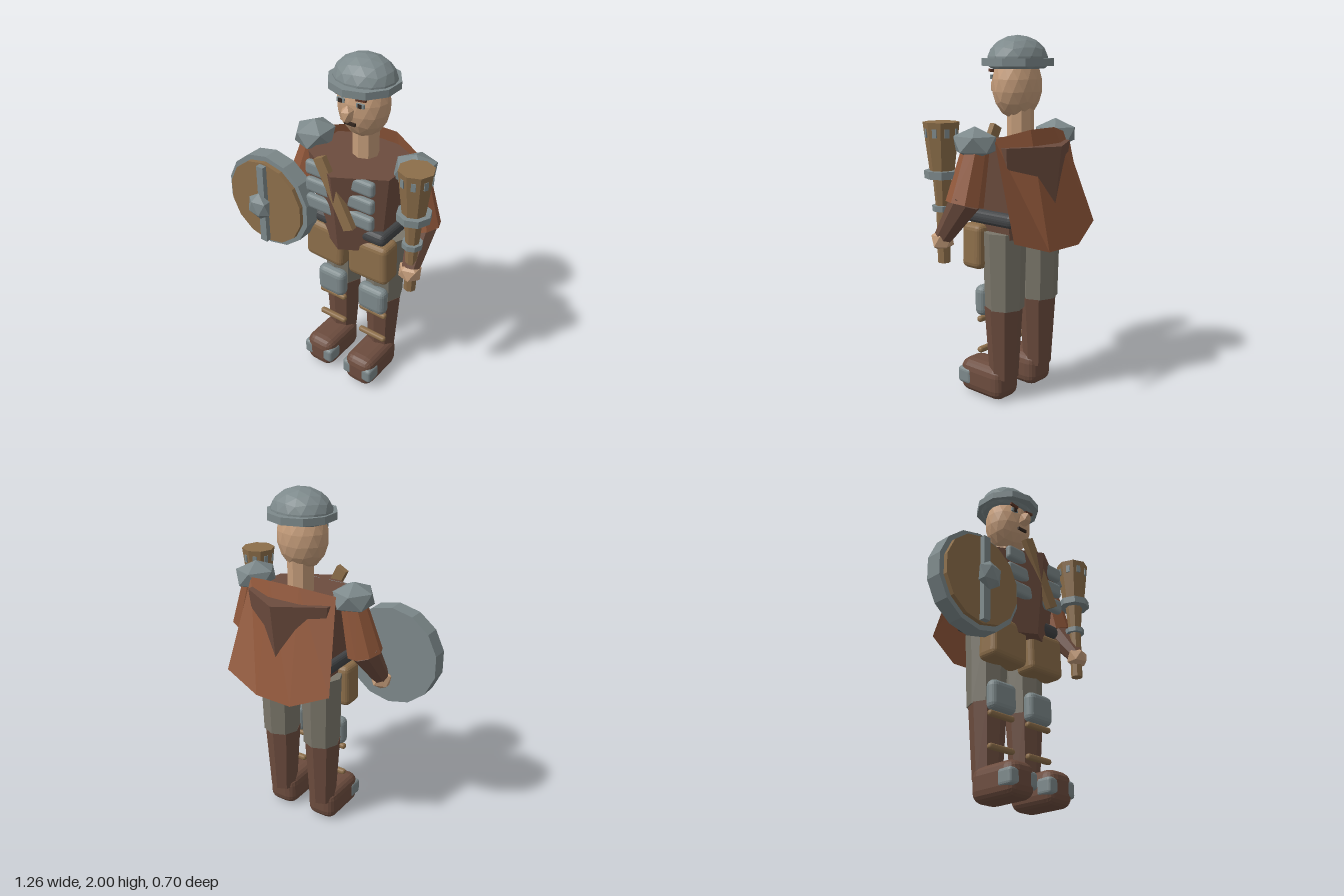
import * as THREE from 'three';
import { RoundedBoxGeometry } from 'three/addons/geometries/RoundedBoxGeometry.js';

const CX = 0.115; // body centre line

export function createModel() {
  const root = new THREE.Group();
  root.name = 'guard';

  const mat = (name, color, extra = {}) => {
    const m = new THREE.MeshStandardMaterial({ color, flatShading: true, ...extra });
    m.name = name;
    return m;
  };
  const skin = mat('skin', 0xc49c7a);
  const steel = mat('steel', 0x7d898b);
  const wood = mat('wood', 0x8c6e4a);
  const rust = mat('rustCloth', 0x91583b, { side: THREE.DoubleSide });
  const leather = mat('leather', 0x6c4c3e);
  const trousers = mat('trousers', 0x7a766a);
  const charcoal = mat('charcoal', 0x434547);
  const dark = mat('darkFeatures', 0x33261f);
  const brown = mat('browBrown', 0x5e3626);

  const add = (name, geo, m, x, y, z) => {
    const mesh = new THREE.Mesh(geo, m);
    mesh.name = name;
    mesh.position.set(x, y, z);
    root.add(mesh);
    return mesh;
  };
  const box = (name, m, w, h, d, x, y, z) => add(name, new THREE.BoxGeometry(w, h, d), m, x, y, z);
  const soft = (name, m, w, h, d, r, x, y, z) =>
    add(name, new RoundedBoxGeometry(w, h, d, 2, r), m, x, y, z);
  // upright cylinder between heights y0 and y1
  const cyl = (name, m, rTop, rBottom, y0, y1, sides, x, z) =>
    add(name, new THREE.CylinderGeometry(rTop, rBottom, y1 - y0, sides), m, x, (y0 + y1) / 2, z);
  // faceted ball with one vertex pointing up
  const ball = (name, m, rx, ry, rz, x, y, z, detail = 0) => {
    const g = new THREE.IcosahedronGeometry(1, detail);
    g.rotateZ(0.5536);
    g.scale(rx, ry, rz);
    return add(name, g, m, x, y, z);
  };
  // tapered limb from point a to point b
  const limb = (name, m, a, b, ra, rb, sides) => {
    const A = new THREE.Vector3(...a), B = new THREE.Vector3(...b);
    const dir = A.clone().sub(B);
    const mid = A.clone().add(B).multiplyScalar(0.5);
    const mesh = add(name, new THREE.CylinderGeometry(ra, rb, dir.length(), sides), m, mid.x, mid.y, mid.z);
    mesh.quaternion.setFromUnitVectors(new THREE.Vector3(0, 1, 0), dir.normalize());
  };

  // head and face
  ball('head', skin, 0.147, 0.185, 0.127, CX, 1.74, -0.022, 2);
  ball('nose', skin, 0.036, 0.05, 0.045, CX, 1.73, 0.125);
  cyl('neck', skin, 0.073, 0.073, 1.38, 1.62, 8, CX, -0.045);
  box('mouth', dark, 0.064, 0.016, 0.012, CX, 1.668, 0.1);
  for (const s of [-1, 1]) {
    box('eye', steel, 0.046, 0.022, 0.012, CX + s * 0.06, 1.783, 0.095);
    box('pupil', dark, 0.02, 0.022, 0.008, CX + s * 0.06, 1.783, 0.102);
    box('eyebrow', brown, 0.06, 0.015, 0.014, CX + s * 0.062, 1.815, 0.095).rotation.z = s * 0.12;
  }

  // helmet: domed cap flattened underneath, with a brim
  const dome = ball('helmetDome', steel, 0.178, 0.135, 0.152, CX, 1.868, -0.028, 2);
  const dp = dome.geometry.attributes.position;
  for (let i = 0; i < dp.count; i++) dp.setY(i, Math.max(dp.getY(i), -0.04));
  dome.geometry.computeVertexNormals();
  cyl('helmetBrim', steel, 0.193, 0.193, 1.842, 1.882, 10, CX, -0.025);

  // torso, belt, chest plates and strap
  cyl('torso', leather, 0.3, 0.237, 0.94, 1.435, 6, CX, -0.03);
  soft('belt', charcoal, 0.51, 0.08, 0.36, 0.035, CX, 1.05, -0.03);
  for (const s of [-1, 1]) {
    for (let i = 0; i < 3; i++) {
      soft('chestPlate', steel, 0.21, 0.086, 0.045, 0.02, CX + s * 0.113, 1.392 - i * 0.106, 0.188);
    }
  }
  box('chestStrap', wood, 0.065, 0.42, 0.035, CX, 1.315, 0.23).rotation.z = 0.48;

  // cape: four columns from shoulder line to hem
  const top = [[-0.16, 1.48, -0.12], [0.02, 1.52, -0.2], [0.21, 1.52, -0.2], [0.4, 1.48, -0.12]];
  const hem = [[-0.23, 0.98, -0.29], [-0.015, 0.89, -0.35], [0.22, 0.89, -0.34], [0.45, 0.97, -0.3]];
  const cape = new THREE.BufferGeometry();
  cape.setAttribute('position', new THREE.Float32BufferAttribute([...top, ...hem].flat(), 3));
  const faces = [];
  for (let i = 0; i < 3; i++) faces.push(i, i + 1, i + 4, i + 1, i + 5, i + 4);
  cape.setIndex(faces);
  cape.computeVertexNormals();
  add('cape', cape, rust, 0, 0, 0);

  for (const s of [-1, 1]) {
    const at = (dx) => CX + s * dx;
    // arms
    ball('shoulderGuard', steel, 0.122, 0.088, 0.135, at(0.325), 1.456, -0.022);
    limb('sleeve', rust, [at(0.325), 1.44, -0.03], [at(0.395), 1.145, -0.01], 0.07, 0.1, 8);
    limb('forearm', leather, [at(0.395), 1.18, -0.03], [at(0.42), 0.955, 0.13], 0.085, 0.05, 8);
    ball('hand', skin, 0.07, 0.065, 0.062, at(0.42), 0.94, 0.135);

    // legs
    const lx = at(0.143);
    cyl('trouserLeg', trousers, 0.12, 0.108, 0.54, 0.97, 8, lx, -0.055);
    cyl('bootShaft', leather, 0.106, 0.08, 0.13, 0.545, 8, lx, -0.045);
    soft('thighPad', wood, 0.26, 0.25, 0.14, 0.035, at(0.145), 0.88, 0.08).rotation.z = s * 0.03;
    soft('kneePad', steel, 0.185, 0.175, 0.08, 0.038, lx, 0.567, 0.062);
    for (const y of [0.463, 0.283]) soft('bootStrap', wood, 0.185, 0.033, 0.035, 0.014, lx, y, 0.06);
    soft('boot', leather, 0.19, 0.197, 0.32, 0.06, lx, 0.0985, 0.07);
    soft('toePlate', steel, 0.202, 0.095, 0.1, 0.02, lx, 0.1, 0.178);
  }

  // round shield
  const SX = -0.353, SY = 1.09;
  const disc = (name, m, r, z0, z1) => {
    const g = new THREE.CylinderGeometry(r, r, z1 - z0, 14);
    g.rotateX(Math.PI / 2);
    add(name, g, m, SX, SY, (z0 + z1) / 2);
  };
  disc('shieldRim', steel, 0.285, 0.14, 0.235);
  disc('shieldFace', wood, 0.256, 0.18, 0.26);
  box('shieldBar', steel, 0.045, 0.49, 0.035, SX, SY, 0.273);
  ball('shieldBoss', steel, 0.08, 0.085, 0.045, SX, SY + 0.003, 0.31);

  // club with flared head, collars and studs
  const TX = 0.535, TZ = 0.127;
  cyl('clubHead', wood, 0.095, 0.062, 1.29, 1.565, 8, TX, TZ);
  cyl('clubCollar', steel, 0.093, 0.093, 1.275, 1.315, 8, TX, TZ);
  cyl('clubNeck', wood, 0.05, 0.035, 1.1, 1.28, 8, TX, TZ);
  cyl('clubLowerRing', steel, 0.056, 0.056, 1.1, 1.13, 8, TX, TZ);
  cyl('clubHandle', wood, 0.035, 0.033, 0.82, 1.11, 8, TX, TZ);
  for (let i = 0; i < 8; i++) {
    const a = (i + 0.5) * Math.PI / 4;
    const stud = box('clubStud', steel, 0.024, 0.045, 0.014,
      TX + Math.sin(a) * 0.08, 1.51, TZ + Math.cos(a) * 0.08);
    stud.rotation.y = a;
  }

  return root;
}
